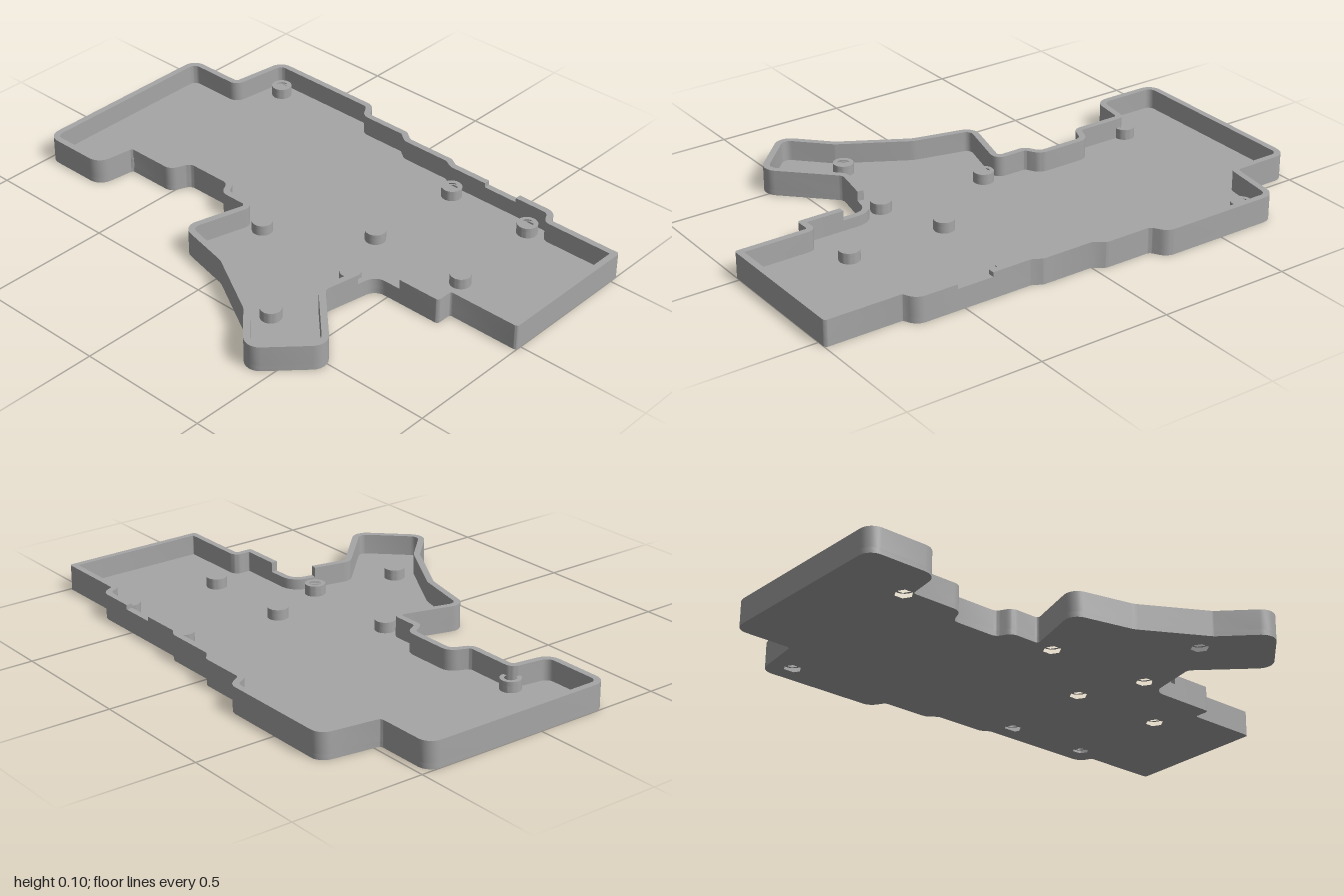
import * as THREE from 'three';
import { toCreasedNormals } from 'three/addons/utils/BufferGeometryUtils.js';

const HEIGHT = 0.097, FLOOR = 0.02, WALL = 0.024;

// Outer outline as sharp corners: x, z, corner radius, and a mark where a wall run begins
const OUTLINE = [
  [0.53, -0.59, 0, 'backRight'],
  [0.685, -0.59, 0.05], [0.71, -0.54, 0.01], [1, -0.54, 0.012], [1, 0.025, 0.012],
  [0.72, 0.025, 0.008], [0.72, 0.09, 0.012],
  [0.55, 0.09, 0, 'frontNotch'],
  [0.445, 0.09, 0.05],
  [0.431, 0.165, 0, 'mainRun'],
  [0.405, 0.3, 0.03], [0.62, 0.515, 0.055], [0.425, 0.715, 0.055], [0.275, 0.56, 0.05],
  [0.03, 0.42, 0.08], [-0.21, 0.365, 0.05], [-0.143, 0.12, 0.012],
  [-0.26, 0.12, 0.04], [-0.29, 0.065, 0.03], [-0.475, 0.065, 0.03], [-0.505, 0.14, 0.04],
  [-0.705, 0.14, 0.012], [-0.725, 0.29, 0.055], [-1, 0.29, 0.05], [-1, -0.475, 0.05],
  [-0.768, -0.475, 0.015], [-0.738, -0.697, 0.05], [-0.26, -0.697, 0.05],
  [-0.225, -0.64, 0.02], [-0.04, -0.64, 0.03], [0, -0.61, 0.02], [0.2, -0.61, 0.03],
  [0.235, -0.59, 0.02],
  [0.39, -0.59, 0, 'backNotch'],
];
// Height of each run of wall
const RUN_HEIGHTS = { backRight: HEIGHT, frontNotch: 0.06, mainRun: HEIGHT, backNotch: 0.08 };

const BOSSES = [
  [-0.66, -0.615], [0.28, -0.515], [0.625, -0.515], [0.26, -0.12], [0.645, -0.12],
  [-0.725, 0.115], [-0.07, 0.11], [0.36, 0.125], [0.305, 0.46],
];

// Round every corner of the outline, giving matching outer and inner points
function traceOutline() {
  const n = OUTLINE.length, outer = [], inner = [], starts = {};
  const corner = (i) => new THREE.Vector2(...OUTLINE[(i + n) % n].slice(0, 2));
  const arc = (list, p, d1, d2, r, sign) => {
    const half = Math.acos(THREE.MathUtils.clamp(d1.dot(d2), -1, 1)) / 2;
    const from = p.clone().addScaledVector(d1, -r * Math.tan(half));
    const normal = new THREE.Vector2(-d1.y, d1.x).multiplyScalar(sign);
    const centre = from.clone().addScaledVector(normal, r);
    for (let k = 0; k <= 6; k++) {
      list.push(from.clone().rotateAround(centre, sign * half * 2 * k / 6));
    }
  };
  OUTLINE.forEach(([, , r, mark], i) => {
    const p = corner(i);
    const d1 = p.clone().sub(corner(i - 1)).normalize();
    const d2 = corner(i + 1).sub(p).normalize();
    const n1 = new THREE.Vector2(-d1.y, d1.x), n2 = new THREE.Vector2(-d2.y, d2.x);
    const q = p.clone().addScaledVector(n1.clone().add(n2), WALL / (1 + n1.dot(n2)));
    if (mark) starts[mark] = outer.length;
    if (r === 0) {
      outer.push(p);
      inner.push(q);
    } else {
      const sign = Math.sign(d1.cross(d2));
      arc(outer, p, d1, d2, r, sign);
      arc(inner, q, d1, d2, Math.max(r - sign * WALL, 0.003), sign);
    }
  });
  return { outer, inner, starts };
}

const flip = (points) => points.map((p) => new THREE.Vector2(p.x, -p.y));

// Extrude a plan shape upward between two heights
function slab(points, holes, y0, y1) {
  const shape = new THREE.Shape(flip(points));
  holes.forEach((h) => shape.holes.push(new THREE.Path(flip(h))));
  const geo = new THREE.ExtrudeGeometry(shape, { depth: y1 - y0, bevelEnabled: false });
  geo.rotateX(-Math.PI / 2).translate(0, y0, 0);
  return toCreasedNormals(geo, 0.6);
}

function ring(cx, cz, radius, sides) {
  return Array.from({ length: sides }, (_, i) => {
    const a = i / sides * Math.PI * 2;
    return new THREE.Vector2(cx + radius * Math.cos(a), cz + radius * Math.sin(a));
  });
}

export function createModel() {
  const model = new THREE.Group();
  model.name = 'trayCase';
  const grey = new THREE.MeshStandardMaterial({ color: 0xa6a6a6 });
  grey.name = 'grey';
  const add = (name, geo, parent = model) => {
    const mesh = new THREE.Mesh(geo, grey);
    mesh.name = name;
    parent.add(mesh);
    return mesh;
  };

  // Floor plate with hexagonal nut recesses
  const { outer, inner, starts } = traceOutline();
  add('floor', slab(outer, BOSSES.map(([x, z]) => ring(x, z, 0.033, 6)), 0, FLOOR));

  // Wall runs, lower at the two notches
  const walls = new THREE.Group();
  walls.name = 'walls';
  model.add(walls);
  const names = Object.keys(RUN_HEIGHTS);
  names.forEach((name, i) => {
    const a = starts[name], b = starts[names[i + 1]] ?? outer.length;
    const run = (list) => [...list, list[0]].slice(a, b + 1);
    add(name + 'Wall', slab([...run(outer), ...run(inner).reverse()], [], FLOOR, RUN_HEIGHTS[name]), walls);
  });

  // Screw bosses: hexagonal pocket below, round screw hole above
  BOSSES.forEach(([x, z], i) => {
    const boss = new THREE.Group();
    boss.name = 'screwBoss' + (i + 1);
    model.add(boss);
    const rim = ring(x, z, 0.038, 32);
    add('nutPocket', slab(rim, [ring(x, z, 0.033, 6)], FLOOR, 0.045), boss);
    add('screwCollar', slab(rim, [ring(x, z, 0.022, 24)], 0.045, 0.06), boss);
  });

  return model;
}
